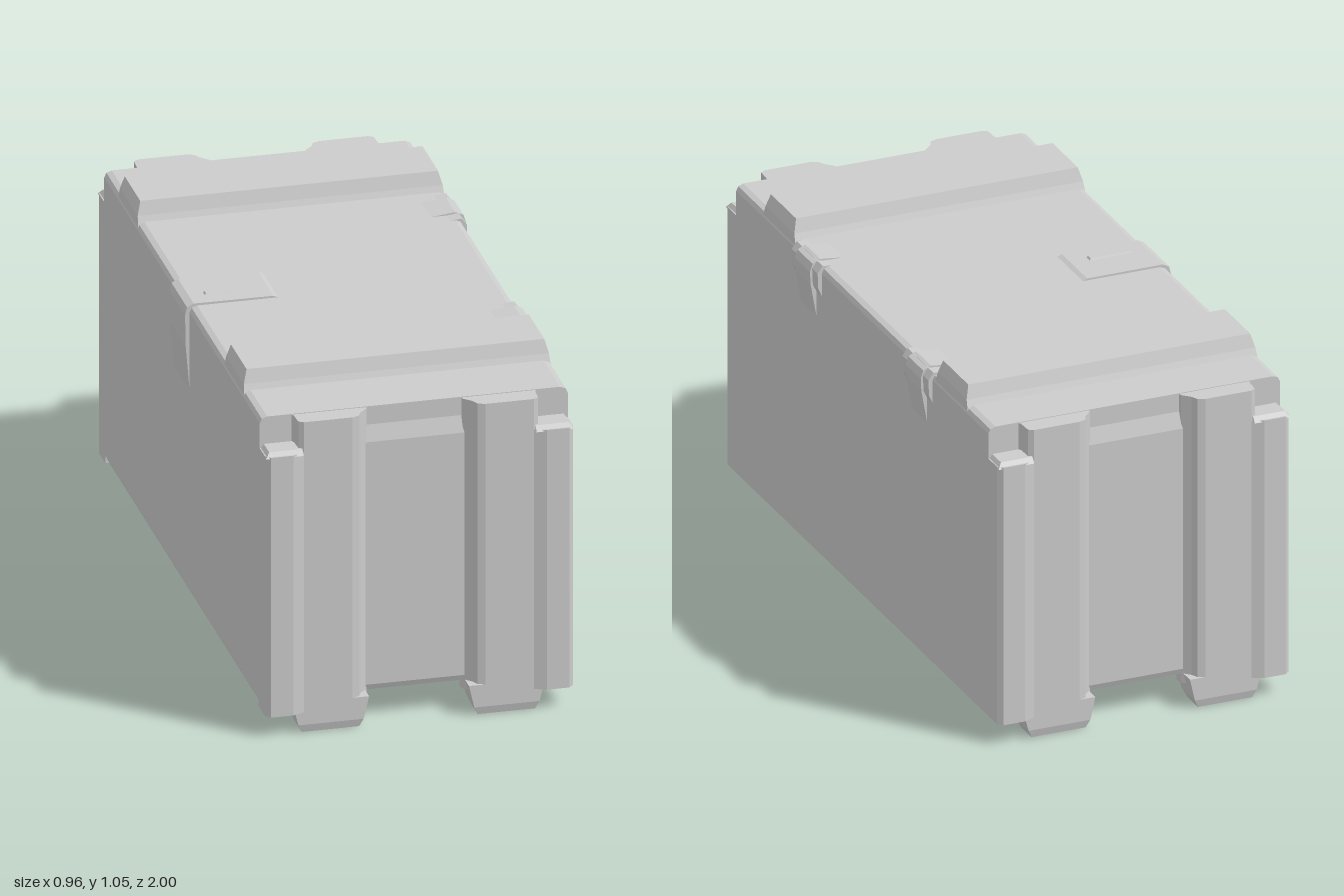
import * as THREE from 'three';

const material = new THREE.MeshStandardMaterial({ color: 0xcccccc });

function add(parent, name, geometry) {
  const mesh = new THREE.Mesh(geometry, material);
  mesh.name = name;
  parent.add(mesh);
  return mesh;
}

// Extrude an outline of [a, b] points
function prism(points, depth) {
  const shape = new THREE.Shape(points.map(([a, b]) => new THREE.Vector2(a, b)));
  return new THREE.ExtrudeGeometry(shape, { depth, bevelEnabled: false });
}

// Outline in x, y running from z0 to z1
const alongZ = (points, z0, z1) => prism(points, z1 - z0).translate(0, 0, z0);

// Outline in x, z running from y0 to y1
const alongY = (points, y0, y1) => prism(points, y1 - y0).rotateX(Math.PI / 2).translate(0, y1, 0);

// Outline in z, y running from x0 to x1
const alongX = (points, x0, x1) =>
  prism(points.map(([z, y]) => [-z, y]), x1 - x0).rotateY(Math.PI / 2).translate(x0, 0, 0);

// Box between two rectangles [x0, x1, z0, z1] at heights y0 and y1
function taperedBox(bottom, y0, top, y1) {
  const g = new THREE.BoxGeometry(1, 1, 1);
  const p = g.attributes.position;
  for (let i = 0; i < p.count; i++) {
    const up = p.getY(i) > 0;
    const r = up ? top : bottom;
    p.setXYZ(i, p.getX(i) > 0 ? r[1] : r[0], up ? y1 : y0, p.getZ(i) > 0 ? r[3] : r[2]);
  }
  g.computeVertexNormals();
  return g;
}

export function createModel() {
  const model = new THREE.Group();
  const crate = new THREE.Group();
  crate.name = 'crate';
  crate.position.x = -0.0075;
  model.add(crate);

  // Main body with softened edges and a recessed underside
  add(crate, 'body', alongZ([
    [-0.4625, 0.09], [-0.45, 0.065], [-0.385, 0.065], [-0.36, 0.09],
    [0.4, 0.09], [0.425, 0.065], [0.4625, 0.065],
    [0.4625, 0.968], [0.456, 0.982], [0.44, 0.988],
    [-0.44, 0.988], [-0.456, 0.982], [-0.4625, 0.968],
  ], -0.922, 0.922));

  for (const sz of [1, -1]) {
    const end = new THREE.Group();
    end.name = sz > 0 ? 'frontEnd' : 'backEnd';
    crate.add(end);

    // Recessed panel between the pillars
    add(end, 'endPanel', alongX([
      [0.9, 0.092], [0.928, 0.092], [0.936, 0.11], [0.936, 0.88],
      [0.922, 0.93], [0.918, 0.97], [0.9, 0.98],
    ].map(([z, y]) => [z * sz, y]), -0.16, 0.16));

    for (const sx of [1, -1]) {
      const plan = pts => pts.map(([x, z]) => [x * sx, z * sz]);
      const inner = [[0.345, 0.985], [0.2, 0.985], [0.178, 0.977], [0.168, 0.955], [0.145, 0.932], [0.14, 0.91]];

      // Pillar, cut away at its outer top corner
      add(end, 'pillar', alongY(plan([
        [0.4625, 0.91], [0.4625, 0.985], [0.448, 1], [0.38, 1], ...inner,
      ]), 0.065, 0.89));
      add(end, 'pillarTop', alongY(plan([
        [0.375, 0.91], [0.362, 0.93], [0.36, 0.975], ...inner,
      ]), 0.89, 0.986));

      // Sloping ledge at the corner cut
      const rect = (x0, x1, z0, z1) => [
        Math.min(x0 * sx, x1 * sx), Math.max(x0 * sx, x1 * sx),
        Math.min(z0 * sz, z1 * sz), Math.max(z0 * sz, z1 * sz),
      ];
      add(end, 'cornerLedge', taperedBox(
        rect(0.35, 0.4625, 0.91, 0.998), 0.885, rect(0.35, 0.45, 0.91, 0.985), 0.902));

      // Foot under the pillar
      add(end, 'foot', taperedBox(
        rect(0.178, 0.35, 0.905, 0.978), 0, rect(0.166, 0.362, 0.888, 0.985), 0.025));
      add(end, 'footNeck', taperedBox(
        rect(0.166, 0.362, 0.888, 0.985), 0.025, rect(0.15, 0.38, 0.88, 0.985), 0.095));
    }
  }

  // Raised bands across the lid
  for (const [name, z] of [['frontBand', 0.612], ['backBand', -0.648]]) {
    const band = new THREE.Group();
    band.name = name;
    band.position.z = z;
    crate.add(band);
    add(band, 'bandBase', taperedBox(
      [-0.46, 0.46, -0.118, 0.118], 0.975, [-0.458, 0.458, -0.105, 0.105], 1.006));
    add(band, 'bandTop', taperedBox(
      [-0.458, 0.458, -0.105, 0.105], 1.006, [-0.447, 0.447, -0.092, 0.092], 1.047));
  }

  // Two hinges on the left side
  for (const z of [0.39, -0.42]) {
    const hinge = new THREE.Group();
    hinge.name = 'hinge';
    hinge.position.z = z;
    crate.add(hinge);
    add(hinge, 'hingePlate', alongZ([
      [0.35, 0.985], [0.45, 0.996], [0.475, 0.985], [0.483, 0.96],
      [0.481, 0.92], [0.4615, 0.81], [0.35, 0.81],
    ], -0.055, 0.055));
    add(hinge, 'hingePin', alongZ([
      [0.4, 0.985], [0.46, 0.992], [0.476, 0.97], [0.474, 0.92], [0.46, 0.89], [0.4, 0.89],
    ], -0.095, 0.095));
  }

  // Latch over the right edge of the lid
  const latch = new THREE.Group();
  latch.name = 'latch';
  crate.add(latch);
  add(latch, 'latchPlate', alongZ([
    [-0.19, 0.985], [-0.21, 0.994], [-0.45, 0.995], [-0.47, 0.985],
    [-0.476, 0.96], [-0.474, 0.86], [-0.4615, 0.71], [-0.4, 0.71],
  ], -0.095, 0.09));
  add(latch, 'latchRib', taperedBox(
    [-0.41, -0.26, 0.01, 0.045], 0.985, [-0.4, -0.27, 0.018, 0.037], 1.0));

  return model;
}
